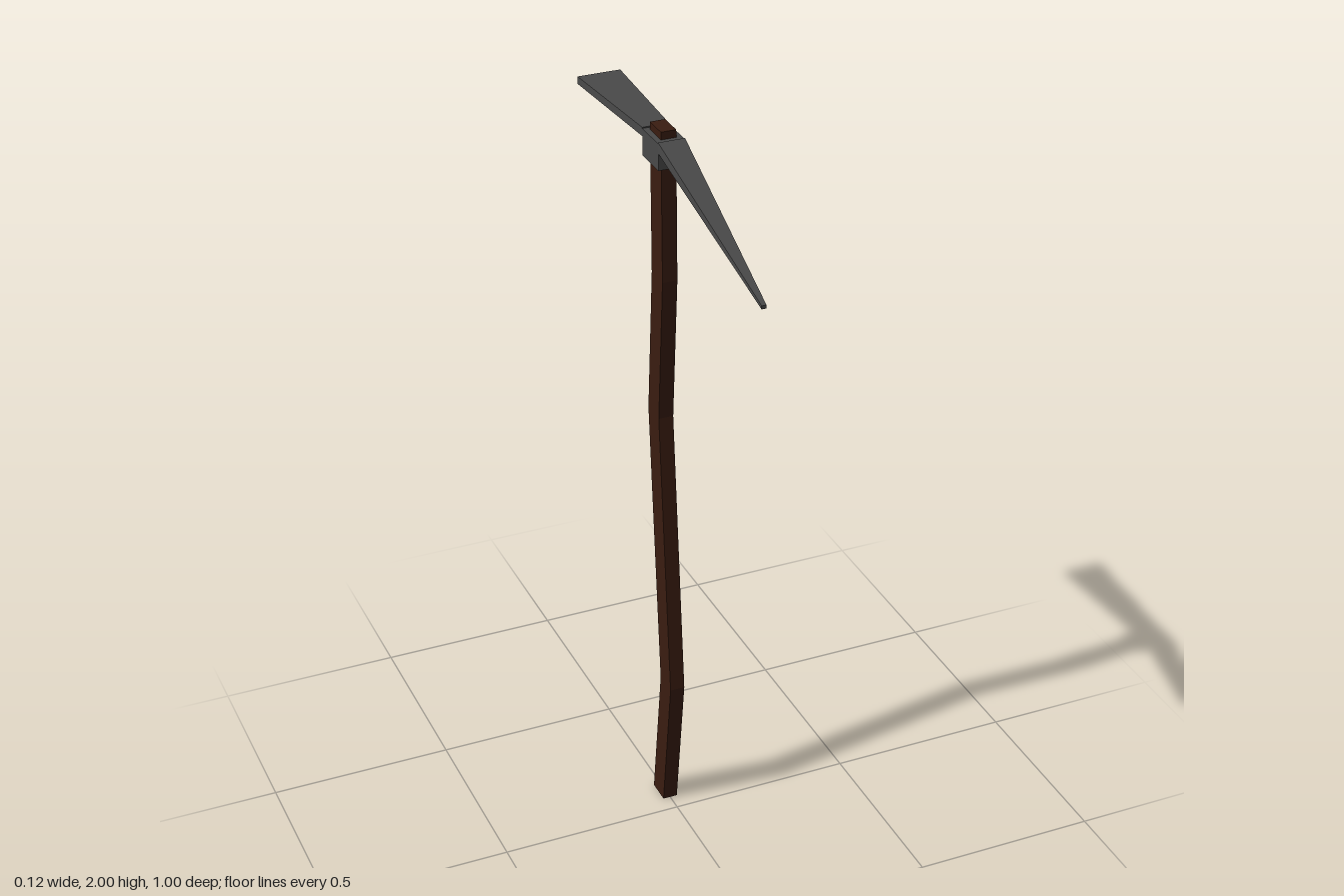
import * as THREE from 'three';

// Closed flat-shaded solid through four-cornered rings, each counter-clockwise seen from the far end
function loft(name, rings, material) {
  const pos = [];
  const quad = (a, b, c, d) => pos.push(...a, ...b, ...c, ...a, ...c, ...d);
  for (let i = 0; i < rings.length - 1; i++) {
    const a = rings[i], b = rings[i + 1];
    for (let j = 0; j < 4; j++) {
      const k = (j + 1) % 4;
      quad(a[j], a[k], b[k], b[j]);
    }
  }
  const first = rings[0], last = rings[rings.length - 1];
  quad(first[3], first[2], first[1], first[0]);
  quad(...last);
  const geometry = new THREE.BufferGeometry();
  geometry.setAttribute('position', new THREE.Float32BufferAttribute(pos, 3));
  geometry.computeVertexNormals();
  const mesh = new THREE.Mesh(geometry, material);
  mesh.name = name;
  return mesh;
}

// Upright ring at depth z, and level ring at height y
const ringZ = (z, y0, y1, w) => [[-w, y0, z], [w, y0, z], [w, y1, z], [-w, y1, z]];
const ringY = (y, z, w, d) => [[-w, y, z + d], [w, y, z + d], [w, y, z - d], [-w, y, z - d]];

export function createModel() {
  const group = new THREE.Group();
  group.name = 'pickaxe';
  const wood = new THREE.MeshStandardMaterial({ color: 0x3a1d11, flatShading: true });
  const metal = new THREE.MeshStandardMaterial({ color: 0x4a4a4a, flatShading: true });

  // Crooked handle: height and depth of each bend
  const bends = [[0, -0.083], [0.4, -0.032], [1.2, -0.106], [1.6, -0.079], [2, -0.086]];
  group.add(loft('handle', bends.map(([y, z]) => ringY(y, z, 0.02, 0.034)), wood));

  // Socket around the handle
  group.add(loft('socket', [ringZ(-0.132, 1.91, 1.98, 0.035), ringZ(-0.032, 1.91, 1.98, 0.035)], metal));

  // Flat blade widening to the back
  group.add(loft('adzeBlade', [ringZ(-0.5, 1.957, 1.977, 0.058), ringZ(-0.132, 1.96, 1.983, 0.035)], metal));

  // Spike tapering forward and down
  group.add(loft('spike', [ringZ(-0.034, 1.955, 1.983, 0.035), ringZ(0.5, 1.785, 1.794, 0.006)], metal));

  return group;
}
